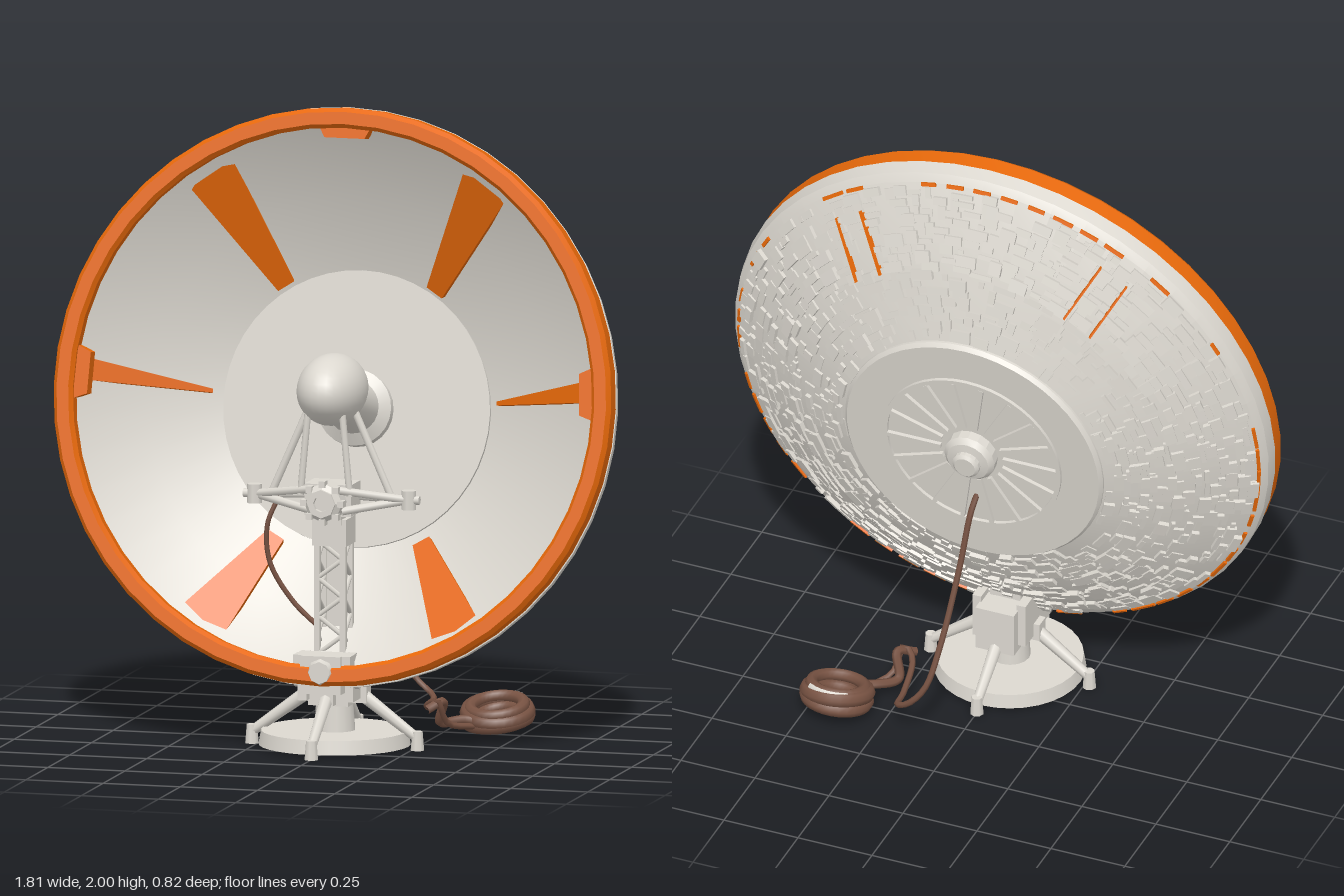
import * as THREE from 'three';
import { mergeGeometries, toCreasedNormals } from 'three/addons/utils/BufferGeometryUtils.js';

const mat = (name, color) => {
  const m = new THREE.MeshStandardMaterial({ color });
  m.name = name;
  return m;
};
const V = (x, y, z) => new THREE.Vector3(x, y, z);
const flatShape = pts => new THREE.Shape(pts.map(p => new THREE.Vector2(...p)));

// the bowl sags a little: the deeper a point lies, the lower it sits
const sag = geo => {
  const p = geo.attributes.position;
  for (let i = 0; i < p.count; i++) p.setY(i, p.getY(i) + 0.15 * Math.min(0, p.getZ(i) + 0.06));
  return geo;
};

export function createModel() {
  const root = new THREE.Group();
  root.name = 'dishAntenna';
  const paint = mat('palePaint', 0xdcd8d0);
  const orange = mat('orangePaint', 0xea6a0a);
  const brown = mat('brownCable', 0x775242);
  let seed = 7;
  const rnd = () => (seed = (seed * 16807) % 2147483647) / 2147483647;

  const add = (parent, name, geo, m, x = 0, y = 0, z = 0) => {
    const mesh = new THREE.Mesh(geo, m);
    mesh.name = name;
    mesh.position.set(x, y, z);
    parent.add(mesh);
    return mesh;
  };
  const box = (p, name, w, h, d, x, y, z) => add(p, name, new THREE.BoxGeometry(w, h, d), paint, x, y, z);
  // straight bar between two points
  const rod = (p, name, a, b, r, r2 = r, sides = 8) => {
    const mesh = add(p, name, new THREE.CylinderGeometry(r2, r, a.distanceTo(b), sides), paint);
    mesh.position.copy(a).add(b).multiplyScalar(0.5);
    mesh.quaternion.setFromUnitVectors(V(0, 1, 0), b.clone().sub(a).normalize());
  };
  // turned shape about z from [radius, z] pairs
  const turned = (pts, seg = 48) =>
    toCreasedNormals(new THREE.LatheGeometry(pts.map(([r, z]) => new THREE.Vector2(r, z)), seg).rotateX(Math.PI / 2), 0.3);
  const cable = (name, pts, r) =>
    add(root, name, new THREE.TubeGeometry(new THREE.CatmullRomCurve3(pts.map(p => V(...p))), 48, r, 6), brown);

  // ---- tilted dish ----
  const dish = new THREE.Group();
  dish.name = 'dish';
  dish.position.set(0, 1.11, 0.155);
  dish.rotation.x = -0.156;
  root.add(dish);

  add(dish, 'bowl', sag(turned([[0, -0.335], [0.43, -0.335], [0.65, -0.252], [0.88, -0.128], [0.9, -0.108],
    [0.906, -0.068], [0.85, -0.058], [0.65, -0.218], [0.43, -0.312], [0, -0.312]])), paint);
  add(dish, 'rimRing', turned([[0.842, -0.06], [0.903, -0.074], [0.903, -0.015], [0.89, 0], [0.852, 0],
    [0.84, -0.015], [0.842, -0.06]]), orange);
  add(dish, 'innerDisc', sag(turned([[0.432, -0.315], [0.432, -0.3], [0, -0.3]])), paint);

  // raised irregular panels covering the back of the bowl
  const panels = [];
  const backZ = r => r < 0.65 ? -0.335 + (r - 0.43) * 0.377 : -0.252 + (r - 0.65) * 0.539;
  const rows = 17;
  for (let i = 0; i < rows; i++) {
    const r = 0.455 + (i * 0.4) / (rows - 1);
    const pitch = Math.atan(r < 0.65 ? 0.377 : 0.539);
    let a = rnd() * 0.1;
    const end = a + Math.PI * 2;
    while (a < end) {
      const w = 0.015 + rnd() * 0.06;
      if (rnd() < 0.7) {
        const g = new THREE.BoxGeometry(0.012 + rnd() * 0.03, w, 0.008 + rnd() * 0.016);
        panels.push(g.rotateY(-pitch).translate(r + (rnd() - 0.5) * 0.016, 0, backZ(r)).rotateZ(a));
      }
      a += (w + 0.004) / r;
    }
  }
  add(dish, 'backPanels', sag(mergeGeometries(panels)), paint);

  // broken orange edging just inside the rim on the back
  const edging = [];
  for (let i = 0; i < 60; i++) if (rnd() < 0.75)
    edging.push(new THREE.BoxGeometry(0.011, 0.04 + rnd() * 0.05, 0.012).rotateY(-0.49)
      .translate(0.875, 0, backZ(0.875)).rotateZ((i * Math.PI) / 30));
  add(dish, 'backEdging', sag(mergeGeometries(edging)), orange);

  // back plate with radial ribs and a stepped hub
  add(dish, 'backPlate', sag(turned([[0, -0.352], [0.425, -0.352], [0.435, -0.34], [0.435, -0.325]])), paint);
  add(dish, 'backPlateRing', sag(turned([[0.285, -0.35], [0.285, -0.362], [0.3, -0.362], [0.3, -0.35]])), paint);
  const ribs = [];
  for (let i = 0; i < 18; i++)
    ribs.push(new THREE.BoxGeometry(0.18, 0.014, 0.016).translate(0.195, 0, -0.355).rotateZ((i * Math.PI) / 9));
  add(dish, 'backRibs', sag(mergeGeometries(ribs)), paint);
  add(dish, 'backHub', sag(turned([[0, -0.42], [0.035, -0.42], [0.045, -0.412], [0.045, -0.4], [0.07, -0.395],
    [0.085, -0.38], [0.085, -0.345]], 16)), paint);

  // tapered orange braces on the inside; the upper pair shows as slots on the back
  const slope = 0.485;
  for (const [deg, wIn, wOut, r0] of [[57, 0.06, 0.175, 0.44], [123, 0.06, 0.175, 0.44], [176, 0.012, 0.075, 0.46],
    [240, 0.06, 0.175, 0.47], [300, 0.06, 0.175, 0.47], [4, 0.012, 0.075, 0.46]]) {
    const turn = (deg * Math.PI) / 180;
    const len = (0.855 - r0) / Math.cos(slope);
    const s = flatShape([[0, -wIn / 2], [len, -wOut / 2], [len, wOut / 2], [0, wIn / 2]]);
    const geo = new THREE.ExtrudeGeometry(s, { depth: 0.02, bevelEnabled: false }).translate(0, 0, -0.02)
      .rotateY(-slope).translate(r0, 0, -0.288 + (r0 - 0.43) * 0.527).rotateZ(turn);
    add(dish, 'brace', sag(geo), orange);
    if (deg === 57 || deg === 123) for (const side of [-1, 1])
      add(dish, 'backSlot', sag(new THREE.BoxGeometry(0.2, 0.006, 0.03).rotateY(-0.49)
        .translate(0.73, side * 0.05, backZ(0.73) - 0.002).rotateZ(turn)), orange);
  }
  // clamp tabs inside the rim
  for (const [deg, r] of [[3, 0.795], [90, 0.808], [177, 0.795]]) {
    const s = flatShape([[r, -0.065], [0.855, -0.09], [0.855, 0.09], [r, 0.065]]);
    add(dish, 'rimTab', new THREE.ExtrudeGeometry(s, { depth: 0.05, bevelEnabled: false })
      .translate(0, 0, -0.075).rotateZ((deg * Math.PI) / 180), orange);
  }

  // ---- receiver ----
  add(dish, 'receiverCollar', sag(turned([[0.12, -0.305], [0.12, -0.27], [0.085, -0.25], [0.07, -0.1], [0, -0.1]], 24)), paint);
  const ball = add(root, 'receiverBall', new THREE.SphereGeometry(0.107, 28, 18), paint, 0, 1.132, 0.14);
  ball.scale.set(1, 1.05, 1.55);

  const bracket = new THREE.Group();
  bracket.name = 'bracket';
  bracket.position.z = -0.01;
  root.add(bracket);
  add(bracket, 'bracketHub', turned([[0.062, -0.07], [0.062, 0.01], [0.045, 0.025], [0.045, 0.035], [0.025, 0.035],
    [0.025, 0.02], [0, 0.02]], 8), paint, 0, 0.79, 0.25);
  for (let i = 0; i < 8; i++) {
    const a = (i * Math.PI) / 4;
    box(bracket, 'hubBolt', 0.02, 0.02, 0.03, 0.06 * Math.cos(a), 0.79 + 0.06 * Math.sin(a), 0.26);
  }
  box(bracket, 'bracketBlock', 0.15, 0.1, 0.11, 0, 0.79, 0.15);
  for (const s of [-1, 1]) {
    const tip = V(s * 0.25, 0.795, 0.16);
    rod(bracket, 'frontArm', V(s * 0.05, 0.83, 0.25), tip, 0.013);
    rod(bracket, 'lowerArm', V(s * 0.05, 0.76, 0.22), tip, 0.013);
    rod(bracket, 'rearArm', V(s * 0.05, 0.79, 0.09), tip, 0.013);
    rod(bracket, 'armTip', V(s * 0.25, 0.765, 0.16), V(s * 0.25, 0.825, 0.16), 0.024);
    rod(bracket, 'armPin', V(s * 0.235, 0.795, 0.16), V(s * 0.285, 0.795, 0.16), 0.014);
    rod(bracket, 'outerStrut', V(s * 0.07, 1.08, 0.16), V(s * 0.19, 0.81, 0.16), 0.012);
    rod(bracket, 'innerStrut', V(s * 0.055, 1.08, 0.235), V(s * 0.08, 0.81, 0.235), 0.011);
  }

  // ---- lattice mast ----
  const mast = new THREE.Group();
  mast.name = 'mast';
  mast.position.z = 0.125;
  root.add(mast);
  for (const x of [-0.042, 0.042]) for (const z of [-0.04, 0.04]) box(mast, 'mastPost', 0.018, 0.42, 0.018, x, 0.47, z);
  box(mast, 'mastBackPlate', 0.085, 0.4, 0.01, 0, 0.47, -0.043);
  box(mast, 'mastHead', 0.11, 0.085, 0.11, 0, 0.685, 0);
  box(mast, 'mastNeck', 0.08, 0.06, 0.08, 0, 0.74, 0.02);
  for (let i = 0; i < 6; i++) {
    const y = 0.3 + i * 0.06, s = i % 2 ? 1 : -1;
    rod(mast, 'mastLace', V(s * 0.04, y, 0.04), V(-s * 0.04, y + 0.06, 0.04), 0.008, 0.008, 6);
    for (const x of [-0.042, 0.042])
      rod(mast, 'mastSideLace', V(x, y, s * 0.04), V(x, y + 0.06, -s * 0.04), 0.008, 0.008, 6);
  }

  // ---- pedestal ----
  const base = new THREE.Group();
  base.name = 'pedestal';
  base.position.z = 0.115;
  root.add(base);
  add(base, 'footDisc', new THREE.CylinderGeometry(0.23, 0.238, 0.045, 32), paint, 0, 0.032, 0);
  add(base, 'column', new THREE.CylinderGeometry(0.055, 0.065, 0.15, 16), paint, 0, 0.12, 0);
  box(base, 'gearbox', 0.13, 0.15, 0.2, 0, 0.215, -0.025);
  box(base, 'yokeBlock', 0.13, 0.12, 0.1, 0, 0.25, 0.115);
  rod(base, 'yokeKnob', V(0, 0.26, 0.16), V(0, 0.26, 0.18), 0.045, 0.035);
  for (const s of [-1, 1]) {
    box(base, 'yokeCheek', 0.03, 0.15, 0.2, s * 0.075, 0.235, 0.01);
    box(base, 'yokeLug', 0.035, 0.04, 0.05, s * 0.075, 0.29, 0.125);
    rod(base, 'yokeBolt', V(s * 0.07, 0.22, 0.08), V(s * 0.105, 0.22, 0.08), 0.022);
  }
  for (let i = 0; i < 4; i++) {
    const leg = new THREE.Group();
    leg.name = 'leg';
    leg.rotation.y = (i * Math.PI) / 2;
    base.add(leg);
    rod(leg, 'legBar', V(0.06, 0.19, 0), V(0.265, 0.04, 0), 0.023, 0.016);
    box(leg, 'legBracket', 0.05, 0.06, 0.05, 0.085, 0.175, 0);
    rod(leg, 'legFoot', V(0.268, 0, 0), V(0.268, 0.06, 0), 0.022, 0.017);
  }

  // ---- cables ----
  cable('rearCable', [[0, 0.83, -0.15], [0.01, 0.77, -0.18], [0.03, 0.58, -0.225], [0.06, 0.33, -0.31], [0.09, 0.2, -0.355],
    [0.14, 0.135, -0.365], [0.19, 0.1, -0.34], [0.21, 0.08, -0.24], [0.24, 0.11, -0.1], [0.28, 0.13, -0.07],
    [0.3, 0.05, -0.12], [0.36, 0.03, -0.2]], 0.01);
  cable('looseCable', [[0.25, 0.1, -0.05], [0.29, 0.12, -0.1], [0.27, 0.05, -0.14], [0.33, 0.05, -0.2], [0.4, 0.04, -0.21]], 0.015);
  cable('frontCable', [[-0.17, 0.79, 0.15], [-0.205, 0.7, 0.16], [-0.2, 0.58, 0.15], [-0.13, 0.46, 0.14], [-0.04, 0.38, 0.15]], 0.008);
  const coil = new THREE.Group();
  coil.name = 'cableCoil';
  coil.position.set(0.412, 0.062, -0.295);
  coil.rotation.set(0.24, 0, 0.03);
  root.add(coil);
  for (const [R, y, t] of [[0.095, -0.018, 0.023], [0.093, 0.004, 0.026], [0.084, 0.022, 0.02], [0.07, -0.012, 0.02]]) {
    const loop = add(coil, 'coilLoop', new THREE.TorusGeometry(R, t, 8, 28).rotateX(Math.PI / 2), brown, 0, y, 0);
    loop.rotation.set((rnd() - 0.5) * 0.2, 0, (rnd() - 0.5) * 0.2);
  }
  // pale wrap over the far side of the coil
  add(coil, 'coilWrap', new THREE.TorusGeometry(0.088, 0.02, 8, 12, 1.4).rotateX(-Math.PI / 2).rotateY(0.85), paint, 0, 0.02, 0);
  return root;
}
